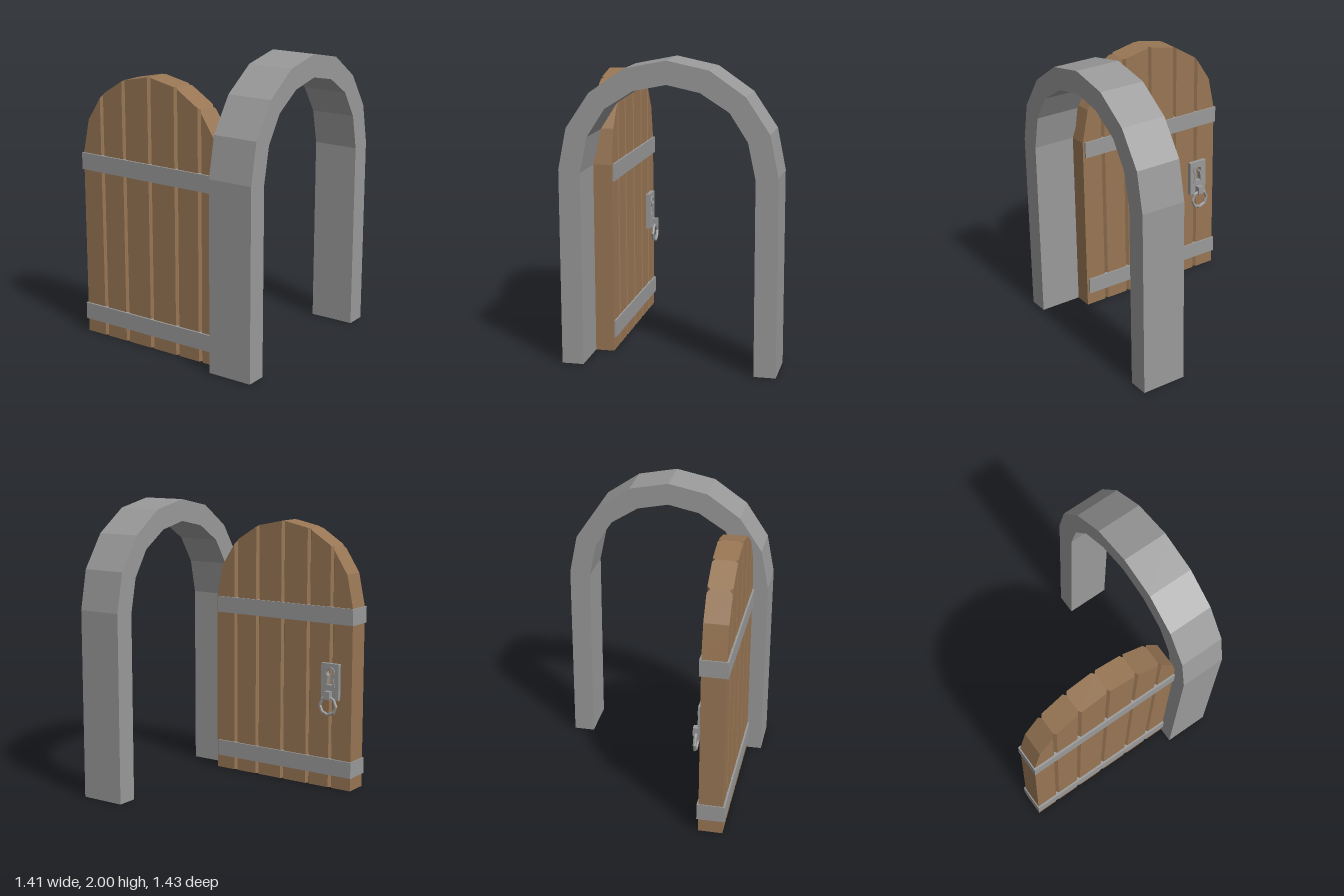
import * as THREE from 'three';

const stone = new THREE.MeshStandardMaterial({ color: 0x999999 });
stone.name = 'grey';
const wood = new THREE.MeshStandardMaterial({ color: 0x987654 });
wood.name = 'wood brown';

// Half arches as [half width, height], from spring line to crown
const OUTER = [[0.706, 1.291], [0.652, 1.56], [0.498, 1.788], [0.27, 1.945], [0, 2]];
const INNER = [[0.563, 1.275], [0.514, 1.508], [0.398, 1.688], [0.212, 1.806], [0, 1.85]];
const mirrored = (half) => [
  ...half.map(([x, y]) => [-x, y]),
  ...half.slice(0, -1).reverse(),
];
const toShape = (pts) => new THREE.Shape(pts.map(([x, y]) => new THREE.Vector2(x, y)));
const extrude = (shape, depth) =>
  new THREE.ExtrudeGeometry(shape, { depth, bevelEnabled: false, curveSegments: 6 });

function add(parent, name, geometry, material, x = 0, y = 0, z = 0) {
  const mesh = new THREE.Mesh(geometry, material);
  mesh.name = name;
  mesh.position.set(x, y, z);
  parent.add(mesh);
  return mesh;
}

// Open door: planks with V grooves, tops following the arch
function createDoor() {
  const door = new THREE.Group();
  door.name = 'door';
  const centreZ = -0.145, back = -0.6, front = -0.437;
  const top = mirrored(INNER);
  for (let i = 0; i < top.length - 1; i++) {
    const [z0, y0] = top[i], [z1, y1] = top[i + 1];
    // The outermost two arch segments on each side share one plank
    const d0 = i >= 2 && i <= 6 ? 0.02 : 0;
    const d1 = i >= 1 && i <= 5 ? 0.02 : 0;
    const w = 0.014;
    const plan = [];
    if (d0) plan.push([back, z0 + w], [back + d0, z0], [front - d0, z0], [front, z0 + w]);
    else plan.push([back, z0], [front, z0]);
    if (d1) plan.push([front, z1 - w], [front - d1, z1], [back + d1, z1], [back, z1 - w]);
    else plan.push([front, z1], [back, z1]);
    const g = extrude(toShape(plan.map(([x, z]) => [x, -z])), 1);
    g.rotateX(-Math.PI / 2);
    const p = g.attributes.position;
    for (let v = 0; v < p.count; v++) {
      if (p.getY(v) < 0.5) continue;
      const t = (p.getZ(v) - z0) / (z1 - z0);
      p.setY(v, y0 + (y1 - y0) * t);
    }
    g.computeVertexNormals();
    add(door, 'plank', g, wood, 0, 0, centreZ);
  }
  // Metal straps wrapping the planks
  for (const y of [0.151, 1.222])
    add(door, 'strap', new THREE.BoxGeometry(0.188, 0.115, 1.118), stone, -0.519, y, -0.156);
  return door;
}

// Keyhole outline: round head above a flared slot
function keyhole(PathType, r, neck, foot, bottom) {
  const path = new PathType();
  const a = Math.asin(neck / r);
  path.moveTo(-foot, bottom);
  path.lineTo(foot, bottom);
  path.lineTo(neck, -r * Math.cos(a));
  path.absarc(0, 0, r, -Math.PI / 2 + a, Math.PI * 1.5 - a, false);
  path.closePath();
  return path;
}

// Lock plate with raised keyhole rim and a pull ring, facing +x
function createLock() {
  const lock = new THREE.Group();
  lock.name = 'lock';
  const hole = () => keyhole(THREE.Path, 0.025, 0.013, 0.022, -0.085);

  const plate = toShape([[-0.069, -0.191], [0.069, -0.191], [0.069, 0.064], [-0.069, 0.064]]);
  plate.holes.push(hole());
  add(lock, 'lockPlate', extrude(plate, 0.029), stone);

  const rim = keyhole(THREE.Shape, 0.043, 0.028, 0.044, -0.1);
  rim.holes.push(hole());
  add(lock, 'keyholeRim', extrude(rim, 0.008), stone, 0, 0, 0.028);

  add(lock, 'ringHolder', new THREE.BoxGeometry(0.042, 0.058, 0.044), stone, 0, -0.155, 0.048);

  const ring = new THREE.TorusGeometry(0.064, 0.012, 6, 8).toNonIndexed();
  ring.computeVertexNormals();
  add(lock, 'pullRing', ring, stone, 0, -0.228, 0.05);

  lock.rotation.y = Math.PI / 2;
  lock.position.set(-0.437, 0.826, -0.55);
  return lock;
}

export function createModel() {
  const model = new THREE.Group();
  model.name = 'archedDoorway';

  // Stone arch
  const outline = [
    [-0.706, 0], ...mirrored(OUTER), [0.706, 0],
    [0.563, 0], ...mirrored(INNER).reverse(), [-0.563, 0],
  ];
  add(model, 'archFrame', extrude(toShape(outline), 0.313), stone, 0, 0, 0.402);

  model.add(createDoor(), createLock());
  return model;
}
